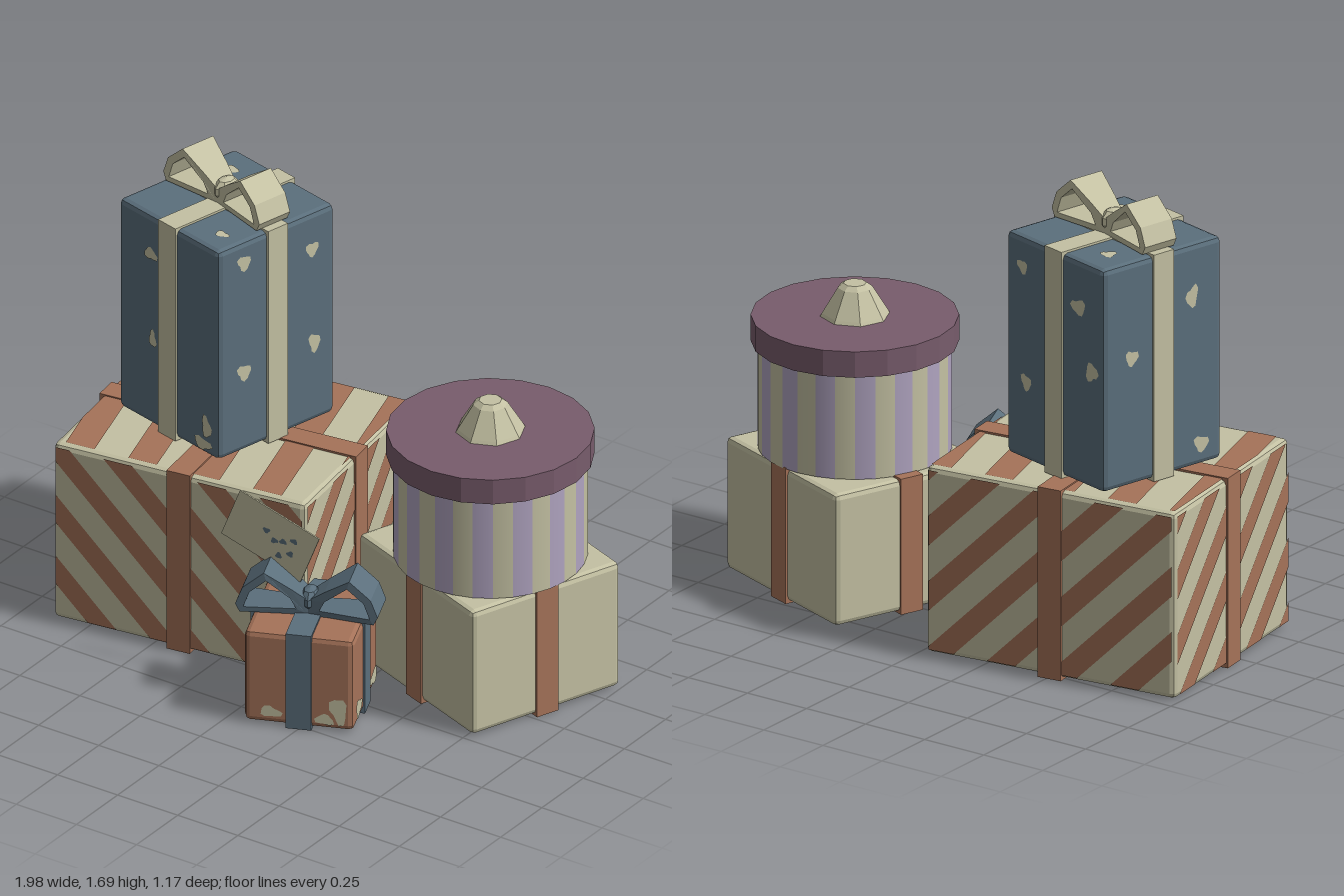
import * as THREE from 'three';
import { RoundedBoxGeometry } from 'three/addons/geometries/RoundedBoxGeometry.js';

const material = (name, color) => {
  const m = new THREE.MeshStandardMaterial({ color });
  m.name = name;
  return m;
};

// Plain facets: every triangle keeps its own normal
function flat(geometry) {
  const g = geometry.index ? geometry.toNonIndexed() : geometry;
  g.computeVertexNormals();
  return g;
}

function add(parent, name, geometry, mat, x = 0, y = 0, z = 0) {
  const mesh = new THREE.Mesh(geometry, mat);
  mesh.name = name;
  mesh.position.set(x, y, z);
  parent.add(mesh);
  return mesh;
}

// Keep the part of a polygon where a*u + b*v <= c
function clip(points, a, b, c) {
  const out = [];
  points.forEach((p, i) => {
    const q = points[(i + 1) % points.length];
    const dp = a * p.x + b * p.y - c, dq = a * q.x + b * q.y - c;
    if (dp <= 0) out.push(p);
    if (dp * dq < 0) out.push(p.clone().lerp(q, dp / (dp - dq)));
  });
  return out;
}

const RIBBON = 0.09, EDGE = 0.02, LIFT = 0.008;

// Bevelled box wrapped by two crossing ribbon bands; origin at its underside
function giftBox(name, [w, h, d], [x, y, z], turn, paper, ribbon) {
  const gift = new THREE.Group();
  gift.name = name;
  gift.position.set(x, y, z);
  gift.rotation.y = turn;
  const mid = h / 2;
  add(gift, 'box', flat(new RoundedBoxGeometry(w, h - 2 * LIFT, d, 1, EDGE)), paper, 0, mid, 0);
  add(gift, 'ribbonLengthwise', new THREE.BoxGeometry(RIBBON, h, d + 2 * LIFT), ribbon, 0, mid, 0);
  add(gift, 'ribbonCrosswise', new THREE.BoxGeometry(w + 2 * LIFT, h - 0.001, RIBBON), ribbon, 0, mid, 0);
  gift.userData.size = [w, h, d];
  return gift;
}

// Group lying on one side of a gift box, with u to the right and v up
function sidePanel(gift, side) {
  const [w, h, d] = gift.userData.size;
  const e = 0.003, b = h / 2 - LIFT + e;
  const [px, py, pz, rx, ry, u, v] = {
    front: [0, 0, d / 2 + e, 0, 0, w, h],
    back: [0, 0, -d / 2 - e, 0, Math.PI, w, h],
    left: [w / 2 + e, 0, 0, 0, Math.PI / 2, d, h],
    right: [-w / 2 - e, 0, 0, 0, -Math.PI / 2, d, h],
    top: [0, b, 0, -Math.PI / 2, 0, w, d],
    bottom: [0, -b, 0, Math.PI / 2, 0, w, d],
  }[side];
  const panel = new THREE.Group();
  panel.name = side + 'Pattern';
  panel.position.set(px, py + h / 2, pz);
  panel.rotation.set(rx, ry, 0);
  panel.userData.half = [u / 2 - 0.012, v / 2 - 0.02];
  gift.add(panel);
  return panel;
}

// Parallel stripes where a*u + b*v lies near offset + k * 0.24
function stripes(gift, side, a, b, offsets, mat) {
  const panel = sidePanel(gift, side);
  const [U, V] = panel.userData.half;
  offsets.forEach((offset, half) => {
    const u0 = half ? 0 : -U, u1 = half ? U : 0;
    for (let k = -5; k <= 5; k++) {
      const s = offset + k * 0.24;
      let p = [[u0, -V], [u1, -V], [u1, V], [u0, V]].map(([u, v]) => new THREE.Vector2(u, v));
      p = clip(clip(p, a, b, s + 0.055), -a, -b, -s + 0.055);
      if (p.length > 2) add(panel, 'stripe', new THREE.ShapeGeometry(new THREE.Shape(p)), mat);
    }
  });
}

// Irregular flat spot
function spot(parent, u, v, ru, rv, mat, lift = 0) {
  const pts = [];
  for (let i = 0; i < 12; i++) {
    const t = (i / 12) * Math.PI * 2;
    const r = 1 + 0.22 * Math.sin(3 * t + u * 40) + 0.12 * Math.sin(2 * t + v * 30);
    pts.push(new THREE.Vector2(u + ru * r * Math.cos(t), v + rv * r * Math.sin(t)));
  }
  add(parent, 'spot', new THREE.ShapeGeometry(new THREE.Shape(pts)), mat, 0, 0, lift);
}

// Two angular ribbon loops and a knot, standing on y = 0
function bow(mat) {
  const g = new THREE.Group();
  g.name = 'bow';
  const outer = [[0, 0], [0.235, 0], [0.25, 0.03], [0.225, 0.095], [0.15, 0.16], [0.06, 0.1], [0, 0.055]];
  const inner = [[0.04, 0.022], [0.06, 0.062], [0.142, 0.13], [0.2, 0.08], [0.222, 0.02]];
  for (const s of [-1, 1]) {
    const vec = ([x, y]) => new THREE.Vector2(s * x, y);
    const shape = new THREE.Shape(outer.map(vec));
    shape.holes.push(new THREE.Path(inner.map(vec)));
    const loop = new THREE.ExtrudeGeometry(shape, { depth: 0.14, bevelEnabled: false });
    loop.translate(0, 0, -0.07);
    // Pinch the ribbon towards the knot
    const p = loop.attributes.position;
    for (let i = 0; i < p.count; i++)
      p.setZ(i, p.getZ(i) * (0.6 + 0.4 * Math.min(1, Math.abs(p.getX(i)) / 0.14)));
    add(g, s > 0 ? 'leftLoop' : 'rightLoop', flat(loop), mat);
  }
  const knot = add(g, 'knot', flat(new THREE.SphereGeometry(0.045, 8, 5)), mat, 0, 0.045, 0);
  knot.scale.set(0.85, 0.95, 1.2);
  return g;
}

export function createModel() {
  const model = new THREE.Group();
  model.name = 'giftPile';
  const cream = material('cream', 0xc4c1a3);
  const terracotta = material('terracotta', 0xa67359);
  const blue = material('slateBlue', 0x5b6f7c);
  const plum = material('plum', 0x785c6c);
  const lilac = material('lilac', 0xb0a4c0);

  // Large striped gift
  const big = giftBox('stripedGift', [0.97, 0.7, 0.83], [-0.455, 0, -0.117], 0.133, cream, terracotta);
  stripes(big, 'front', 1, 1, [-0.145, -0.025], terracotta);
  stripes(big, 'back', -1, 1, [0.1, 0.1], terracotta);
  stripes(big, 'left', -1, 1, [0, 0], terracotta);
  stripes(big, 'right', -1, 1, [0, 0], terracotta);
  stripes(big, 'top', 1, 0.15, [0.03, 0.03], terracotta);
  stripes(big, 'bottom', 1, 0.15, [0.03, 0.03], terracotta);

  // Tall spotted gift with a bow
  const tall = giftBox('spottedGift', [0.52, 0.835, 0.53], [-0.512, 0.697, -0.157], -0.25, blue, cream);
  const tallSpots = {
    front: [[-0.09, 0.26, 0.03, 0.025], [-0.08, -0.07, 0.02, 0.03], [0.2, -0.3, 0.025, 0.04], [0.18, -0.37, 0.04, 0.025]],
    left: [[-0.15, 0.33, 0.03, 0.028], [-0.15, -0.1, 0.03, 0.03], [0.16, 0.27, 0.025, 0.03], [0.17, -0.1, 0.025, 0.035]],
    back: [[0.13, 0.24, 0.035, 0.03], [0.2, 0.02, 0.03, 0.035], [-0.15, -0.12, 0.025, 0.03], [-0.17, 0.3, 0.025, 0.025]],
    right: [[0.13, 0.22, 0.025, 0.04], [-0.14, 0.06, 0.025, 0.03], [0.17, -0.33, 0.03, 0.03]],
    top: [[-0.15, 0.15, 0.03, 0.025], [0.17, -0.17, 0.025, 0.02]],
  };
  for (const [side, list] of Object.entries(tallSpots)) {
    const panel = sidePanel(tall, side);
    list.forEach(([u, v, ru, rv]) => spot(panel, u, v, ru, rv, cream));
  }
  const tallBow = bow(cream);
  tallBow.position.y = 0.833;
  tall.add(tallBow);

  // Plain square gift below the round box
  const plain = giftBox('plainGift', [0.685, 0.5, 0.62], [0.567, 0, -0.177], -0.36, cream, terracotta);

  // Small gift with patches near its foot and a bow
  const small = giftBox('smallGift', [0.385, 0.37, 0.385], [0.175, 0, 0.335], 0.39, terracotta, blue);
  const smallSpots = {
    front: [[0.14, -0.1, 0.03, 0.05], [0.09, -0.14, 0.03, 0.022], [-0.1, -0.13, 0.035, 0.022]],
    left: [[-0.12, -0.12, 0.045, 0.035], [0.12, -0.13, 0.05, 0.03]],
    back: [[0.11, -0.12, 0.045, 0.03]],
    right: [[-0.1, -0.12, 0.04, 0.035]],
  };
  for (const [side, list] of Object.entries(smallSpots)) {
    const panel = sidePanel(small, side);
    list.forEach(([u, v, ru, rv]) => spot(panel, u, v, ru, rv, cream));
  }
  const smallBow = bow(blue);
  smallBow.position.y = 0.365;
  small.add(smallBow);
  model.add(big, tall, plain, small);

  // Round box with vertical stripes, a lid and a faceted knob
  const round = new THREE.Group();
  round.name = 'roundBox';
  round.position.set(0.585, 0, -0.157);
  const sides = 30;
  const body = new THREE.CylinderGeometry(0.335, 0.335, 0.39, sides, 1, true);
  body.clearGroups();
  for (let i = 0; i < sides; i++) body.addGroup(i * 6, 6, i % 2);
  add(round, 'stripedBody', body, [lilac, cream], 0, 0.69, 0);
  add(round, 'lid', flat(new THREE.CylinderGeometry(0.358, 0.358, 0.095, 20)), plum, 0, 0.926, 0);
  const profile = [[0.122, 0.972], [0.115, 0.985], [0.06, 1.075], [0.04, 1.09], [0, 1.09]];
  add(round, 'knob', flat(new THREE.LatheGeometry(profile.map(([r, y]) => new THREE.Vector2(r, y)), 8)), cream);
  model.add(round);

  // Leaning gift tag with small marks
  const tag = new THREE.Group();
  tag.name = 'giftTag';
  tag.position.set(0.015, 0.605, 0.345);
  tag.rotation.set(0, 0.14, -0.37);
  add(tag, 'card', new THREE.BoxGeometry(0.325, 0.2, 0.006), cream);
  for (const [u, v] of [[-0.02, 0.015], [0.02, -0.005], [0.05, 0.01], [0.085, 0.035], [0.055, -0.05], [0.09, -0.02]])
    spot(tag, u, v, 0.013, 0.011, blue, 0.005);
  model.add(tag);

  return model;
}
